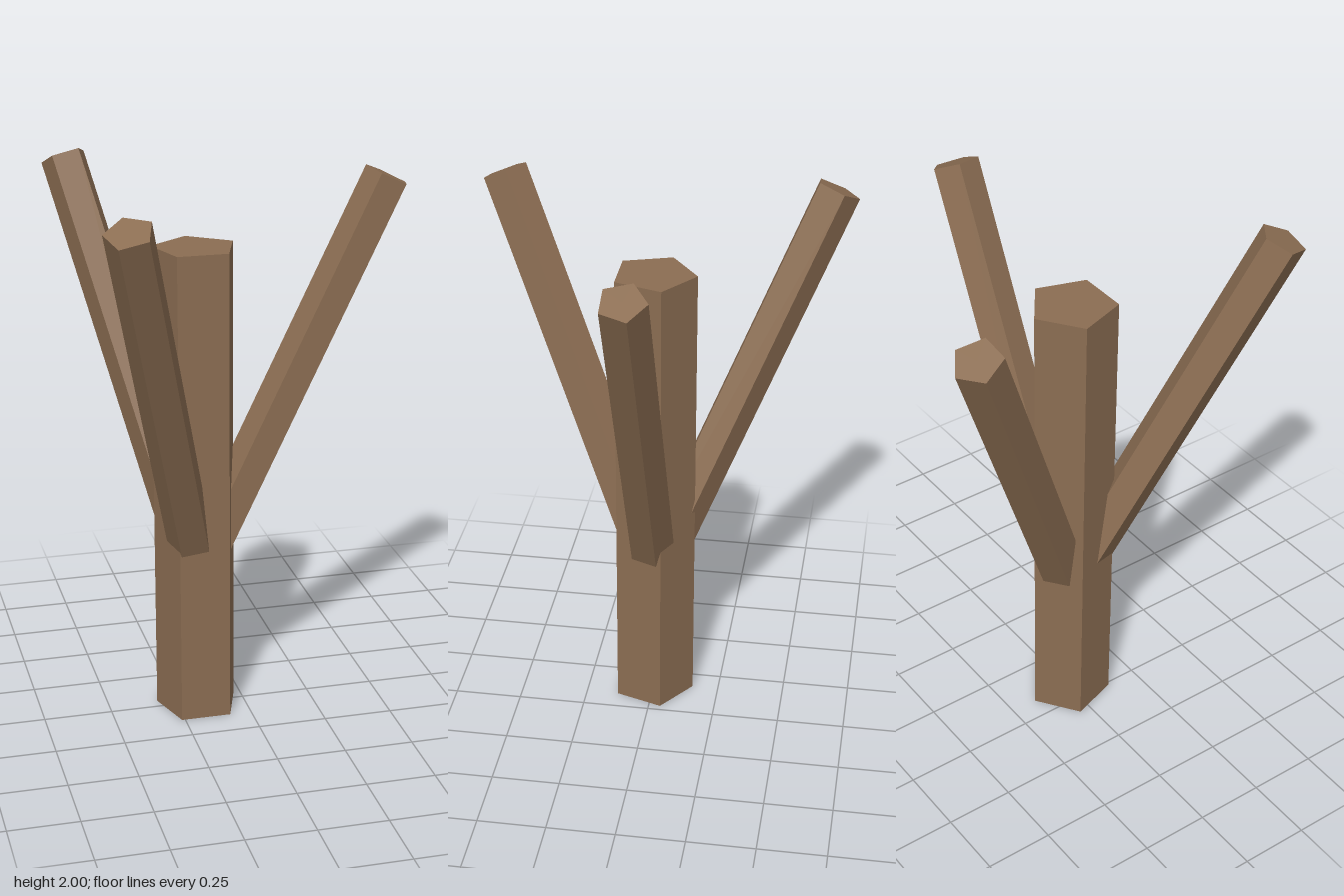
import * as THREE from 'three';

export function createModel() {
  const model = new THREE.Group();
  model.name = 'branchingTrunk';
  const bark = new THREE.MeshStandardMaterial({ color: 0x8b6d52 });
  bark.name = 'bark brown';
  bark.flatShading = true;

  // five-sided log standing on its base, one corner pointing to the back
  const log = (name, radius, length) => {
    const geometry = new THREE.CylinderGeometry(radius, radius, length, 5, 1, false, Math.PI);
    geometry.translate(0, length / 2, 0);
    const mesh = new THREE.Mesh(geometry, bark);
    mesh.name = name;
    model.add(mesh);
    return mesh;
  };

  // upright trunk
  const trunkX = -0.171;
  log('trunk', 0.155, 1.75).position.set(trunkX, 0, 0.004);

  // three branches leaning outward, spread evenly around the trunk
  const up = new THREE.Vector3(0, 1, 0);
  const tilt = 0.45;
  ['leftBranch', 'backBranch', 'frontBranch'].forEach((name, i) => {
    const turn = (i * Math.PI * 2) / 3;
    const direction = new THREE.Vector3(
      Math.sin(tilt) * Math.cos(turn), Math.cos(tilt), -Math.sin(tilt) * Math.sin(turn));
    const branch = log(name, 0.085, 1.6);
    branch.position.set(trunkX, 0.522, 0);
    branch.quaternion.setFromUnitVectors(up, direction);
  });

  return model;
}
